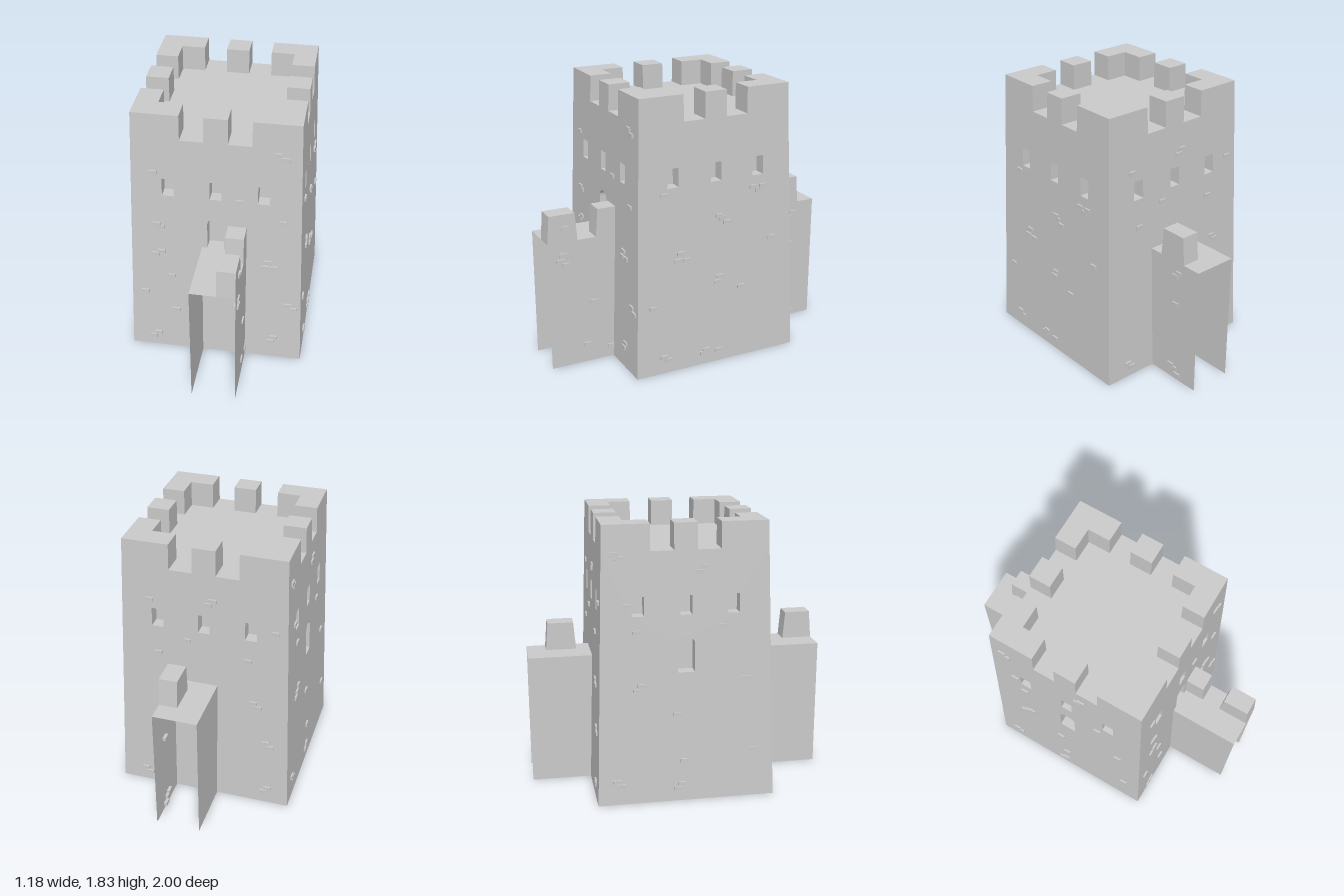
import * as THREE from 'three';

const BASE = 0.583, TOP = 0.525, HEIGHT = 1.83, ROOF = 1.66, CZ = -0.02;
const WALL_TOP = 0.875;
const half = (y) => BASE - (BASE - TOP) * y / HEIGHT; // battered half-width at height y
const stone = new THREE.MeshStandardMaterial({ color: 0xcccccc, flatShading: true, side: THREE.DoubleSide });

function add(parent, name, geometry) {
  const mesh = new THREE.Mesh(geometry, stone);
  mesh.name = name;
  parent.add(mesh);
  return mesh;
}

const polygon = (pts) => new THREE.Shape(pts.map(([x, y]) => new THREE.Vector2(x, y)));

// Lay a flat geometry onto the sloping face, sunk inward by depth
function layOnFace(geometry, depth = 0) {
  const p = geometry.attributes.position;
  for (let i = 0; i < p.count; i++) p.setZ(i, half(p.getY(i)) - depth);
  geometry.computeVertexNormals();
  return geometry;
}

function windowOutline(u) {
  return [[u - 0.038, 1.25], [u + 0.038, 1.25], [u + 0.038, 1.375], [u - 0.038, 1.375]];
}

function archOutline() {
  const pts = [[-0.055, WALL_TOP], [0.055, WALL_TOP]];
  for (let i = 0; i <= 10; i++) {
    const a = Math.PI * i / 10;
    pts.push([0.055 * Math.cos(a), 1.06 + 0.047 * Math.sin(a)]);
  }
  return pts;
}

// Recess: reveal around the opening plus its back panel
function addRecess(parent, name, pts, depth) {
  const pos = [], index = [], n = pts.length;
  pts.forEach(([x, y]) => pos.push(x, y, half(y), x, y, half(y) - depth));
  for (let i = 0; i < n; i++) {
    const a = 2 * i, b = 2 * ((i + 1) % n);
    index.push(a, a + 1, b, b, a + 1, b + 1);
  }
  const reveal = new THREE.BufferGeometry();
  reveal.setAttribute('position', new THREE.Float32BufferAttribute(pos, 3));
  reveal.setIndex(index);
  reveal.computeVertexNormals();
  add(parent, name + 'Reveal', reveal);
  add(parent, name + 'Back', layOnFace(new THREE.ShapeGeometry(polygon(pts)), depth));
}

// One side of the tower with its openings and raised bricks
function towerSide({ name, angle, arch, bricks }) {
  const side = new THREE.Group();
  side.name = name;
  side.rotation.y = angle;
  const face = polygon([[-BASE, 0], [BASE, 0], [half(ROOF), ROOF], [-half(ROOF), ROOF]]);
  const openings = [-0.305, 0, 0.305].map((u) => ['window', windowOutline(u)]);
  if (arch) openings.push(['archedDoor', archOutline()]);
  for (const [label, pts] of openings) {
    face.holes.push(polygon(pts));
    addRecess(side, label, pts, 0.08);
  }
  add(side, 'face', layOnFace(new THREE.ShapeGeometry(face)));
  for (const [u, y] of bricks) {
    add(side, 'brick', new THREE.BoxGeometry(0.05, 0.025, 0.03)).position.set(u, y, half(y) - 0.004);
  }
  return side;
}

// Merlon extruded up from a plan outline; outer corners follow the batter
function merlon(pts) {
  const g = new THREE.ExtrudeGeometry(polygon(pts), { depth: HEIGHT - ROOF, bevelEnabled: false });
  g.rotateX(-Math.PI / 2).translate(0, ROOF, 0);
  const p = g.attributes.position;
  const fit = (v, y) => (Math.abs(v) > 0.5 ? Math.sign(v) * half(y) : v);
  for (let i = 0; i < p.count; i++) {
    const y = p.getY(i);
    p.setXYZ(i, fit(p.getX(i), y), y, fit(p.getZ(i), y));
  }
  g.computeVertexNormals();
  return g;
}

function createTower() {
  const tower = new THREE.Group();
  tower.name = 'tower';
  tower.position.z = CZ;

  const frontBricks = [[0.39, 1.62], [0.435, 1.59], [-0.395, 1.42], [0.155, 1.255], [0.43, 1.125],
    [-0.385, 1.03], [-0.36, 1.01], [-0.36, 0.815], [-0.4, 0.79], [-0.295, 0.62], [-0.48, 0.47],
    [0.34, 0.805], [0.325, 0.765], [0.385, 0.765], [0.48, 0.465], [0.52, 0.435], [-0.27, 0.335],
    [0.395, 0.175], [0.375, 0.14], [-0.4, 0.11], [-0.435, 0.08]];
  const rightBricks = [[0.35, 1.21], [-0.29, 1.175], [-0.36, 1.175], [-0.33, 1.15], [-0.04, 1.02],
    [-0.06, 1.0], [-0.095, 0.97], [0.24, 0.81], [0.26, 0.765], [0.2, 0.76], [-0.43, 0.81],
    [-0.04, 0.605], [-0.025, 0.57], [-0.2, 0.505], [0.44, 0.47], [0.37, 0.115], [0.34, 0.09],
    [0.08, 0.08], [0.06, 0.1], [-0.03, 0.08]].map(([z, y]) => [CZ - z, y]);
  const backBricks = [[0.355, 1.44], [-0.06, 1.49], [-0.03, 1.46], [0.11, 1.18], [0.305, 1.06],
    [-0.29, 1.1], [-0.46, 1.33], [-0.33, 0.79], [-0.36, 0.76], [-0.45, 0.46], [-0.42, 0.49],
    [-0.415, 0.09], [-0.44, 0.12], [0.42, 0.1], [0.39, 0.07]].map(([x, y]) => [-x, y]);
  const leftBricks = [[-0.47, 1.65], [-0.44, 1.62], [0.065, 1.52], [0.09, 1.55], [-0.4, 1.32],
    [0.21, 1.17], [0.37, 0.82], [-0.34, 1.15], [-0.34, 0.77], [-0.31, 0.8], [-0.37, 0.74],
    [-0.08, 0.6], [-0.04, 0.28], [0.43, 0.33], [-0.48, 0.16], [-0.45, 0.13], [-0.08, 0.09],
    [-0.05, 0.12]].map(([z, y]) => [z - CZ, y]);

  const sides = [
    { name: 'frontSide', angle: 0, arch: true, bricks: frontBricks },
    { name: 'leftSide', angle: Math.PI / 2, arch: false, bricks: rightBricks },
    { name: 'backSide', angle: Math.PI, arch: false, bricks: backBricks },
    { name: 'rightSide', angle: -Math.PI / 2, arch: true, bricks: leftBricks },
  ];
  sides.forEach((s) => tower.add(towerSide(s)));

  // Roof deck
  const h = half(ROOF), inner = 0.378, edge = 0.225, mid = 0.075;
  add(tower, 'roofDeck', new THREE.PlaneGeometry(2 * h, 2 * h).rotateX(-Math.PI / 2)).position.y = ROOF;

  // Battlements: one corner and one middle merlon per side
  const corner = merlon([[h, h], [edge, h], [edge, inner], [inner, inner], [inner, edge], [h, edge]]);
  const middle = merlon([[-mid, inner], [mid, inner], [mid, h], [-mid, h]]);
  for (let i = 0; i < 4; i++) {
    add(tower, 'cornerMerlon', corner).rotation.y = i * Math.PI / 2;
    add(tower, 'middleMerlon', middle).rotation.y = i * Math.PI / 2;
  }
  return tower;
}

// Curtain wall: hollow, open at both ends and underneath
function createWall() {
  const wall = new THREE.Group();
  wall.name = 'curtainWall';
  const x0 = -0.09, x1 = 0.2;
  for (const [x, turn] of [[x0, -1], [x1, 1]]) {
    const sheet = add(wall, 'wallSide', new THREE.PlaneGeometry(2, WALL_TOP));
    sheet.position.set(x, WALL_TOP / 2, 0);
    sheet.rotation.y = turn * Math.PI / 2;
  }
  const walk = add(wall, 'wallWalk', new THREE.PlaneGeometry(x1 - x0, 2).rotateX(-Math.PI / 2));
  walk.position.set((x0 + x1) / 2, WALL_TOP, 0);

  // Tapered parapet blocks
  const block = new THREE.ExtrudeGeometry(
    polygon([[-0.1025, 0], [0.1025, 0], [0.087, 0.187], [-0.087, 0.187]]),
    { depth: 0.12, bevelEnabled: false });
  block.rotateY(-Math.PI / 2);
  for (const z of [0.8975, 0.567, -0.77]) add(wall, 'parapet', block).position.set(x1, WALL_TOP, z);

  // Raised bricks on the outer side
  const bricks = [[0.9, 0.79], [0.92, 0.75], [0.88, 0.72], [0.88, 0.97], [0.58, 0.08], [0.75, 0.13],
    [-0.83, 0.8], [-0.8, 0.77], [-0.81, 0.57], [-0.78, 0.095], [-0.81, 0.08], [-0.84, 0.04], [0.7, 0.43]];
  for (const [z, y] of bricks) {
    add(wall, 'brick', new THREE.BoxGeometry(0.03, 0.025, 0.05)).position.set(x1 - 0.005, y, z);
  }
  return wall;
}

export function createModel() {
  const model = new THREE.Group();
  model.name = 'castleTower';
  model.add(createTower(), createWall());
  return model;
}
